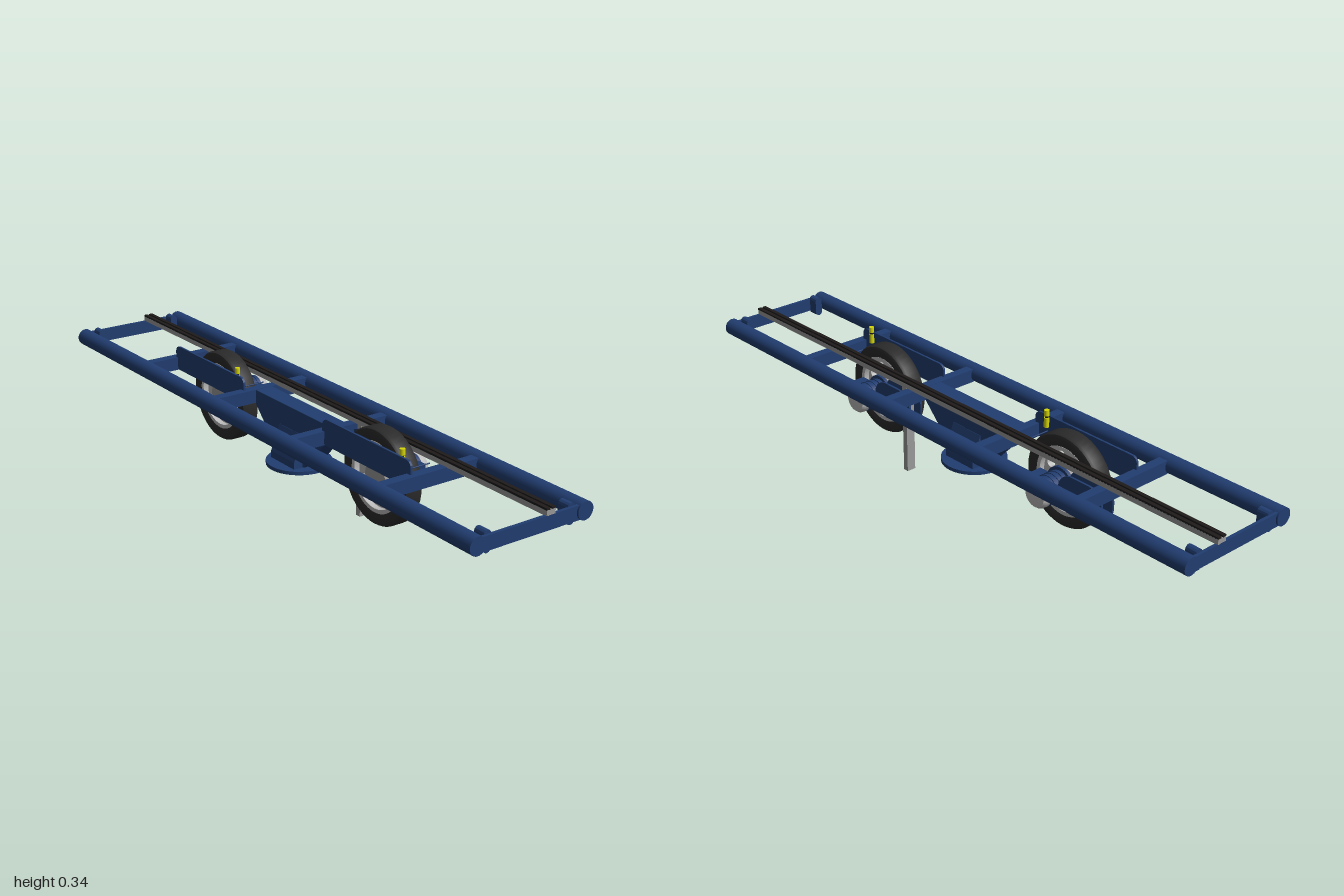
import * as THREE from 'three';
import { toCreasedNormals } from 'three/addons/utils/BufferGeometryUtils.js';

const mat = (name, color) => new THREE.MeshStandardMaterial({ name, color });

export function createModel() {
  const blue = mat('frame blue', 0x213d70);
  const rubber = mat('tyre rubber', 0x2b2b2b);
  const steel = mat('steel grey', 0x999999);
  const alloy = mat('light alloy', 0xbcbcbc);
  const yellow = mat('sensor yellow', 0xd6d60a);
  const black = mat('black trim', 0x1e1b1a);

  const root = new THREE.Group();
  root.name = 'wheeledFrame';

  const add = (parent, name, geo, material, x = 0, y = 0, z = 0) => {
    const m = new THREE.Mesh(geo, material);
    m.name = name;
    m.position.set(x, y, z);
    parent.add(m);
    return m;
  };
  const box = (w, h, d) => new THREE.BoxGeometry(w, h, d);
  const cylX = (r, len, seg = 32) => new THREE.CylinderGeometry(r, r, len, seg).rotateZ(-Math.PI / 2);
  const cylZ = (r, len, seg = 28) => new THREE.CylinderGeometry(r, r, len, seg).rotateX(Math.PI / 2);
  // profile of [axial x, radius] points spun around the x axis
  const latheX = (pts, seg = 48) => toCreasedNormals(
    new THREE.LatheGeometry(pts.map(([x, r]) => new THREE.Vector2(r, x)), seg).rotateZ(-Math.PI / 2), 0.6);
  // outline in (z, y), thickness centred along x
  const plateX = (shape, t) => toCreasedNormals(
    new THREE.ExtrudeGeometry(shape, { depth: t, bevelEnabled: false, curveSegments: 16 })
      .translate(0, 0, -t / 2).rotateY(-Math.PI / 2), 0.6);
  const poly = pts => new THREE.Shape(pts.map(([a, b]) => new THREE.Vector2(a, b)));
  const roundRect = (x0, y0, x1, y1, r) => {
    const s = new THREE.Shape();
    s.absarc(x1 - r, y0 + r, r, -Math.PI / 2, 0);
    s.absarc(x1 - r, y1 - r, r, 0, Math.PI / 2);
    s.absarc(x0 + r, y1 - r, r, Math.PI / 2, Math.PI);
    s.absarc(x0 + r, y0 + r, r, Math.PI, Math.PI * 1.5);
    return s;
  };

  // Side rails, end plates and lugs
  for (const s of [-1, 1]) {
    add(root, 'sideRail', cylZ(0.0265, 2), blue, s * 0.18, 0.267, 0);
    add(root, 'endPlate', box(0.36, 0.042, 0.01), blue, 0, 0.264, s * 0.99);
    for (const e of [-1, 1]) {
      const lug = new THREE.ExtrudeGeometry(roundRect(-0.0125, -0.031, 0.0125, 0.031, 0.0124),
        { depth: 0.035, bevelEnabled: false }).translate(0, 0, -0.0175);
      add(root, 'endLug', toCreasedNormals(lug, 0.6), blue, s * 0.14, 0.264, e * 0.97);
    }
  }

  // Cross beams
  for (const z of [-0.6, -0.2, 0.2, 0.6]) add(root, 'crossBeam', box(0.33, 0.042, 0.03), blue, 0, 0.264, z);

  // Centre pedestal: tapered web, cross gusset and round foot plate
  const pedestal = new THREE.Group();
  pedestal.name = 'pedestal';
  root.add(pedestal);
  add(pedestal, 'web', plateX(poly([[-0.06, 0.11], [0.06, 0.11], [0.19, 0.243], [0.19, 0.284],
    [-0.19, 0.284], [-0.19, 0.243]]), 0.058), blue);
  add(pedestal, 'gusset', new THREE.ExtrudeGeometry(poly([[-0.06, 0.11], [0.06, 0.11], [0.06, 0.135],
    [0.03, 0.215], [-0.03, 0.215], [-0.06, 0.135]]), { depth: 0.12, bevelEnabled: false })
    .translate(0, 0, -0.06), blue);
  add(pedestal, 'footPlate', new THREE.CylinderGeometry(0.1, 0.1, 0.011, 48), blue, 0, 0.108, 0);

  // Conductor channel along the top
  add(root, 'channel', box(0.03, 0.016, 1.99), steel, 0.063, 0.292, 0);
  for (const s of [-1, 1]) add(root, 'channelLip', box(0.012, 0.006, 1.99), black, 0.063 + s * 0.009, 0.302, 0);

  // Hanging post
  add(root, 'post', box(0.03, 0.284, 0.018), steel, 0.063, 0.142, 0.23);

  // Wheel sets
  const tyre = latheX([[-0.024, 0.103], [-0.028, 0.115], [-0.03, 0.13], [-0.027, 0.139], [-0.02, 0.143],
    [0.02, 0.143], [0.027, 0.139], [0.03, 0.13], [0.028, 0.115], [0.024, 0.103], [-0.024, 0.103]]);
  const barrel = latheX([[-0.026, 0.094], [-0.026, 0.106], [0.026, 0.106], [0.026, 0.094], [-0.026, 0.094]]);
  const disc = new THREE.Shape().absarc(0, 0, 0.097, 0, Math.PI * 2);
  for (let i = 0; i < 8; i++) {
    const a = (i + 0.5) * Math.PI / 4;
    disc.holes.push(new THREE.Path().absarc(Math.cos(a) * 0.072, Math.sin(a) * 0.072, 0.015, 0, Math.PI * 2, true));
  }
  const endCap = latheX([[0.112, 0], [0.112, 0.043], [0.128, 0.042], [0.136, 0.036], [0.138, 0.028], [0.138, 0]]);

  for (const z of [0.4, -0.4]) {
    const set = new THREE.Group();
    set.name = 'wheelSet';
    set.position.z = z;
    root.add(set);

    add(set, 'tyre', tyre, rubber, 0, 0.2, 0);
    add(set, 'rimBarrel', barrel, alloy, 0, 0.2, 0);
    add(set, 'rimDisc', plateX(disc, 0.016), alloy, 0, 0.2, 0);
    add(set, 'hub', cylX(0.045, 0.05), steel, 0, 0.2, 0);

    // Drive motor with terminal box and end cap
    add(set, 'motorFlange', cylX(0.05, 0.01), blue, 0.035, 0.2, 0);
    add(set, 'motor', cylX(0.042, 0.085), blue, 0.073, 0.198, 0);
    for (let i = 0; i < 4; i++) add(set, 'motorRib', cylX(0.044, 0.006), blue, 0.052 + i * 0.017, 0.198, 0);
    add(set, 'terminalBox', box(0.05, 0.055, 0.034), blue, 0.078, 0.202, 0.046);
    add(set, 'motorCap', endCap, alloy, 0, 0.198, 0);

    // Twin hanger plates behind the motor
    for (const x of [0.045, 0.088])
      add(set, 'hangerPlate', plateX(roundRect(-0.21, 0.16, -0.045, 0.275, 0.05), 0.007), blue, x, 0, 0);

    // Guard plate with sensor
    add(set, 'guardPlate', plateX(roundRect(-0.195, 0.245, 0.2, 0.323, 0.02), 0.007), blue, -0.061, 0, 0);
    add(set, 'sensorBase', new THREE.CylinderGeometry(0.008, 0.008, 0.03, 20), yellow, -0.053, 0.303, 0.15);
    add(set, 'sensorNeck', new THREE.CylinderGeometry(0.005, 0.005, 0.006, 16), black, -0.053, 0.321, 0.15);
    add(set, 'sensorHead', new THREE.CylinderGeometry(0.008, 0.008, 0.018, 20), yellow, -0.053, 0.333, 0.15);
    add(set, 'sensorRod', cylX(0.002, 0.1, 8), blue, -0.005, 0.275, 0.147);
  }
  return root;
}
